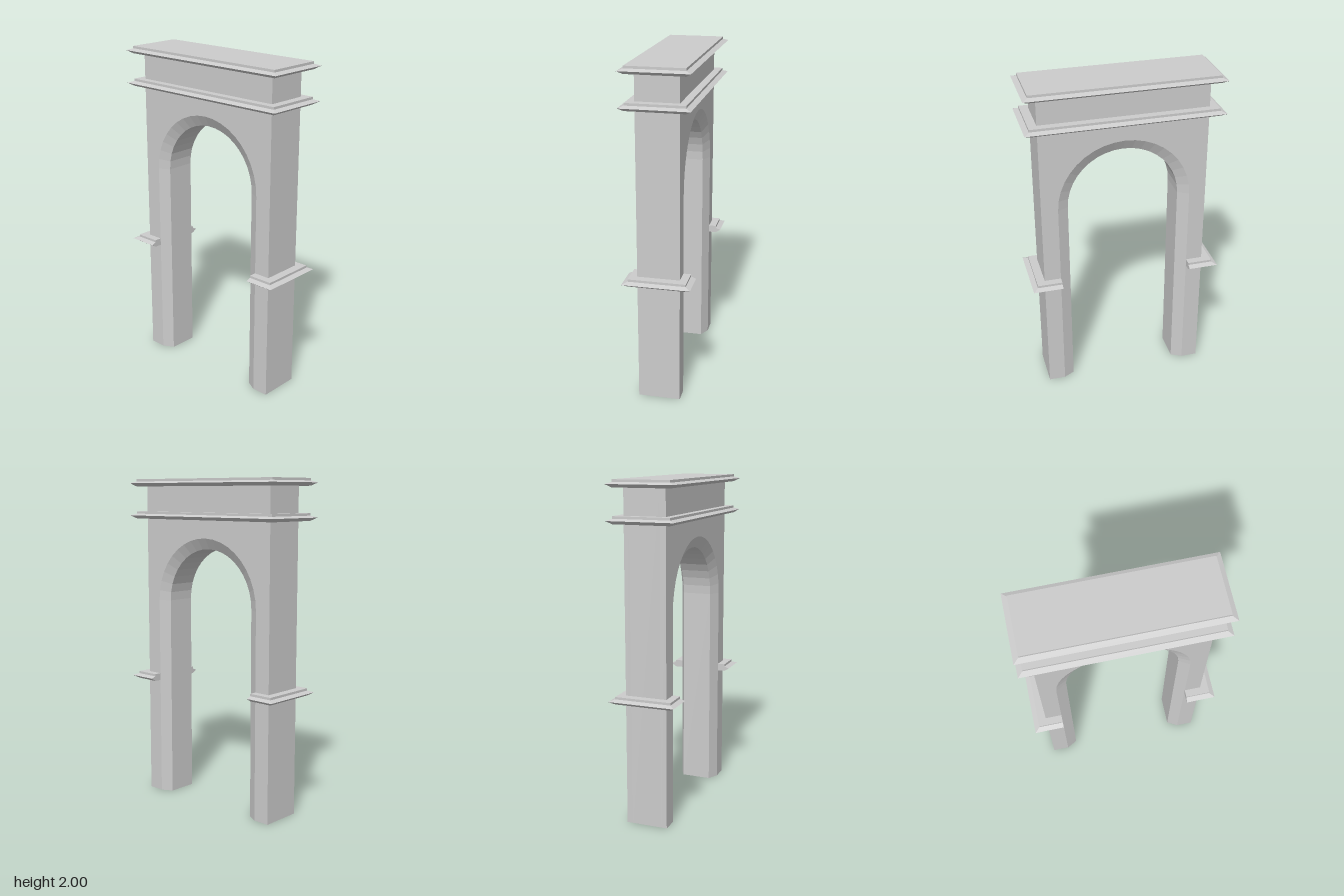
import * as THREE from 'three';

const material = new THREE.MeshStandardMaterial({ color: 0xcccccc, flatShading: true });

const SPRING = 1.25;      // height where the arch starts to curve
const R_FACE = 0.4;       // opening half-width on the front and back faces
const R_SOFFIT = 0.335;   // opening half-width inside the chamfer
const ARC_STEPS = 20;

// Two legs and the arch in one extrusion, with a chamfer round the opening
function archBody() {
  const shape = new THREE.Shape();
  shape.moveTo(-0.5, 0);
  shape.lineTo(-R_FACE, 0);
  for (let i = 0; i <= ARC_STEPS; i++) {
    const a = Math.PI * (1 - i / ARC_STEPS);
    shape.lineTo(R_FACE * Math.cos(a), SPRING + R_FACE * Math.sin(a));
  }
  shape.lineTo(R_FACE, 0);
  shape.lineTo(0.5, 0);
  shape.lineTo(0.5, 1.97);
  shape.lineTo(-0.5, 1.97);
  const geo = new THREE.ExtrudeGeometry(shape, { depth: 3, steps: 3, bevelEnabled: false });

  // Space the four layers, then pull the two middle ones in toward the opening
  const levels = [-0.125, -0.09, 0.09, 0.125];
  const k = R_SOFFIT / R_FACE;
  const p = geo.attributes.position;
  for (let i = 0; i < p.count; i++) {
    const layer = Math.round(p.getZ(i));
    const x = p.getX(i), y = p.getY(i);
    p.setZ(i, levels[layer]);
    const onOpening = Math.abs(x) < 0.45 && y < 1.7;
    if (onOpening && (layer === 1 || layer === 2)) {
      p.setX(i, x * k);
      if (y > SPRING) p.setY(i, SPRING + (y - SPRING) * k);
    }
  }
  geo.computeVertexNormals();
  return geo;
}

// Moulding cross-section: [inset from the tip, height]
const PROFILE = [[0.03, 0], [0, 0.019], [0.03, 0.03], [0.03, 0.044]];

// Rectangular moulding from xMin to xMax; an end that is cut stays flat
function moulding(xMin, xMax, cutLeft, cutRight) {
  const pos = [], index = [];
  for (const [inset, y] of PROFILE) {
    const a = xMin + (cutLeft ? 0 : inset);
    const b = xMax - (cutRight ? 0 : inset);
    const z = 0.2 - inset;
    pos.push(a, y, z, b, y, z, b, y, -z, a, y, -z);
  }
  for (let r = 0; r < PROFILE.length - 1; r++) {
    for (let j = 0; j < 4; j++) {
      const a = r * 4 + j, b = r * 4 + (j + 1) % 4;
      index.push(a, b, b + 4, a, b + 4, a + 4);
    }
  }
  const t = (PROFILE.length - 1) * 4;
  index.push(t, t + 1, t + 2, t, t + 2, t + 3); // top
  index.push(0, 2, 1, 0, 3, 2);                 // underside
  const geo = new THREE.BufferGeometry();
  geo.setAttribute('position', new THREE.Float32BufferAttribute(pos, 3));
  geo.setIndex(index);
  const flat = geo.toNonIndexed();
  flat.computeVertexNormals();
  return flat;
}

export function createModel() {
  const group = new THREE.Group();
  group.name = 'archway';

  const add = (name, geometry, y = 0) => {
    const mesh = new THREE.Mesh(geometry, material);
    mesh.name = name;
    mesh.position.y = y;
    group.add(mesh);
  };

  add('archBody', archBody());

  // Full-width cornices
  add('topCornice', moulding(-0.58, 0.58, false, false), 1.956);
  add('lowerCornice', moulding(-0.58, 0.58, false, false), 1.758);

  // Bands round each leg, cut off at the edge of the opening
  add('leftLegBand', moulding(R_FACE, 0.58, true, false), 0.735);
  add('rightLegBand', moulding(-0.58, -R_FACE, false, true), 0.735);

  return group;
}
